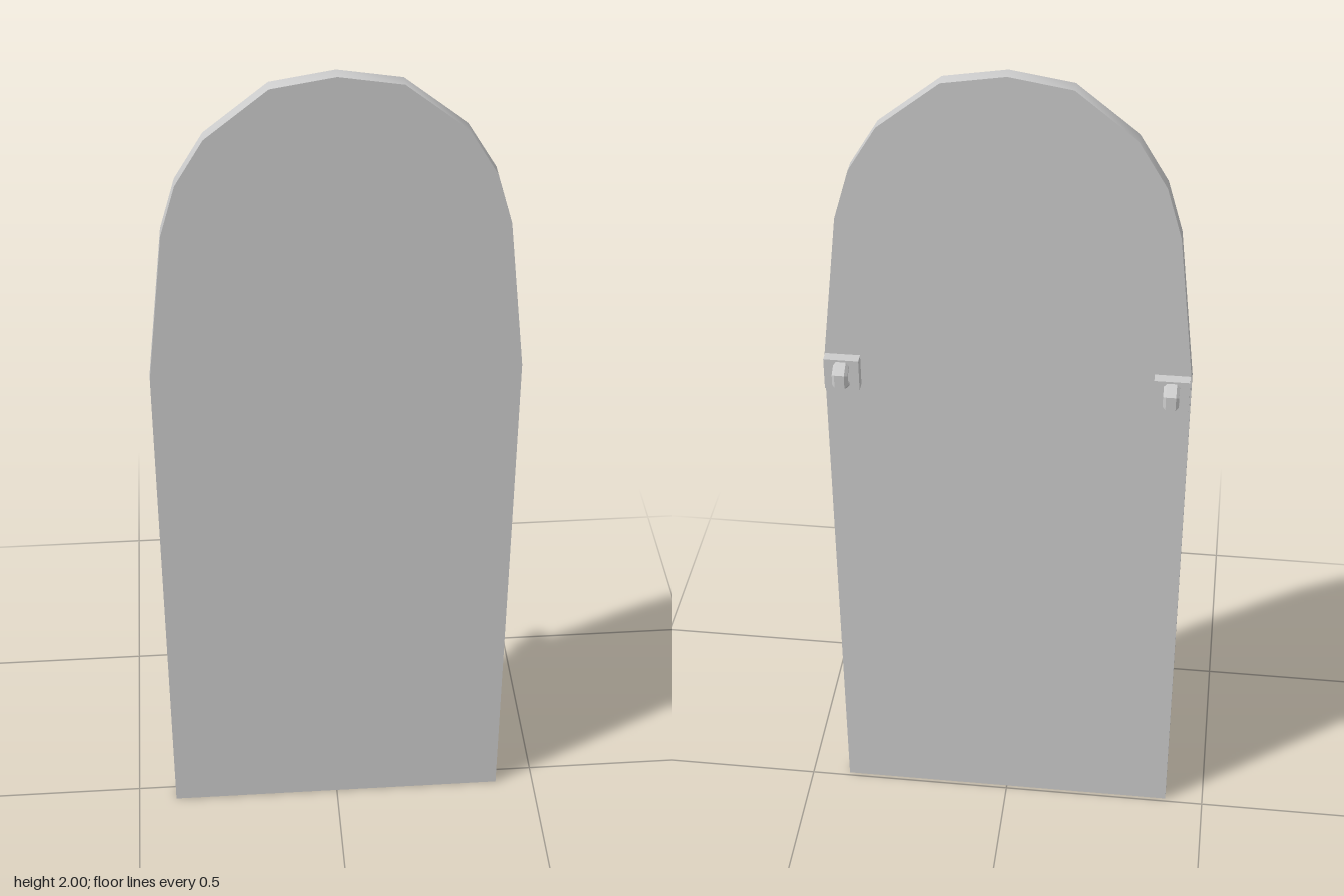
import * as THREE from 'three';
import { toCreasedNormals } from 'three/addons/utils/BufferGeometryUtils.js';

export function createModel() {
  const model = new THREE.Group();
  model.name = 'archedPanel';
  const smooth = new THREE.MeshStandardMaterial({ color: 0xcccccc });
  const flat = new THREE.MeshStandardMaterial({ color: 0xcccccc, flatShading: true });

  // Arched slab: right half of the outline, mirrored for the left
  const half = [[0.407, 0], [0.407, 1.29], [0.367, 1.65], [0.333, 1.767], [0.271, 1.87], [0.136, 1.978]];
  const outline = [...half, [0, 2], ...half.map(([x, y]) => [-x, y]).reverse()];
  const shape = new THREE.Shape(outline.map(([x, y]) => new THREE.Vector2(x, y)));
  const slabGeometry = new THREE.ExtrudeGeometry(shape, { depth: 0.033, bevelEnabled: false });
  const slab = new THREE.Mesh(toCreasedNormals(slabGeometry, 0.6), smooth);
  slab.name = 'slab';
  slab.position.z = 0.009;
  model.add(slab);

  // Half-hexagon loop with a bevelled section, closed around its inner hole
  const section = [
    [0.0335, -0.011], [0.0335, 0.011], [0.025, 0.0175], [0.019, 0.0175],
    [0.012, 0.011], [0.012, -0.011], [0.019, -0.0175], [0.025, -0.0175], [0.0335, -0.011],
  ].map(([r, a]) => new THREE.Vector2(r, a));
  const loopGeometry = new THREE.LatheGeometry(section, 3, Math.PI / 2, Math.PI);
  loopGeometry.rotateZ(-Math.PI / 2);

  // Strap brackets on the back
  for (const side of [-1, 1]) {
    const bracket = new THREE.Group();
    bracket.name = side > 0 ? 'leftBracket' : 'rightBracket';
    bracket.position.set(side * 0.365, 1.266, -0.016);

    const plate = new THREE.Mesh(new THREE.BoxGeometry(0.078, 0.077, 0.026), flat);
    plate.name = 'plate';
    plate.position.z = 0.013;

    const loop = new THREE.Mesh(loopGeometry, flat);
    loop.name = 'loop';

    bracket.add(plate, loop);
    model.add(bracket);
  }
  return model;
}
